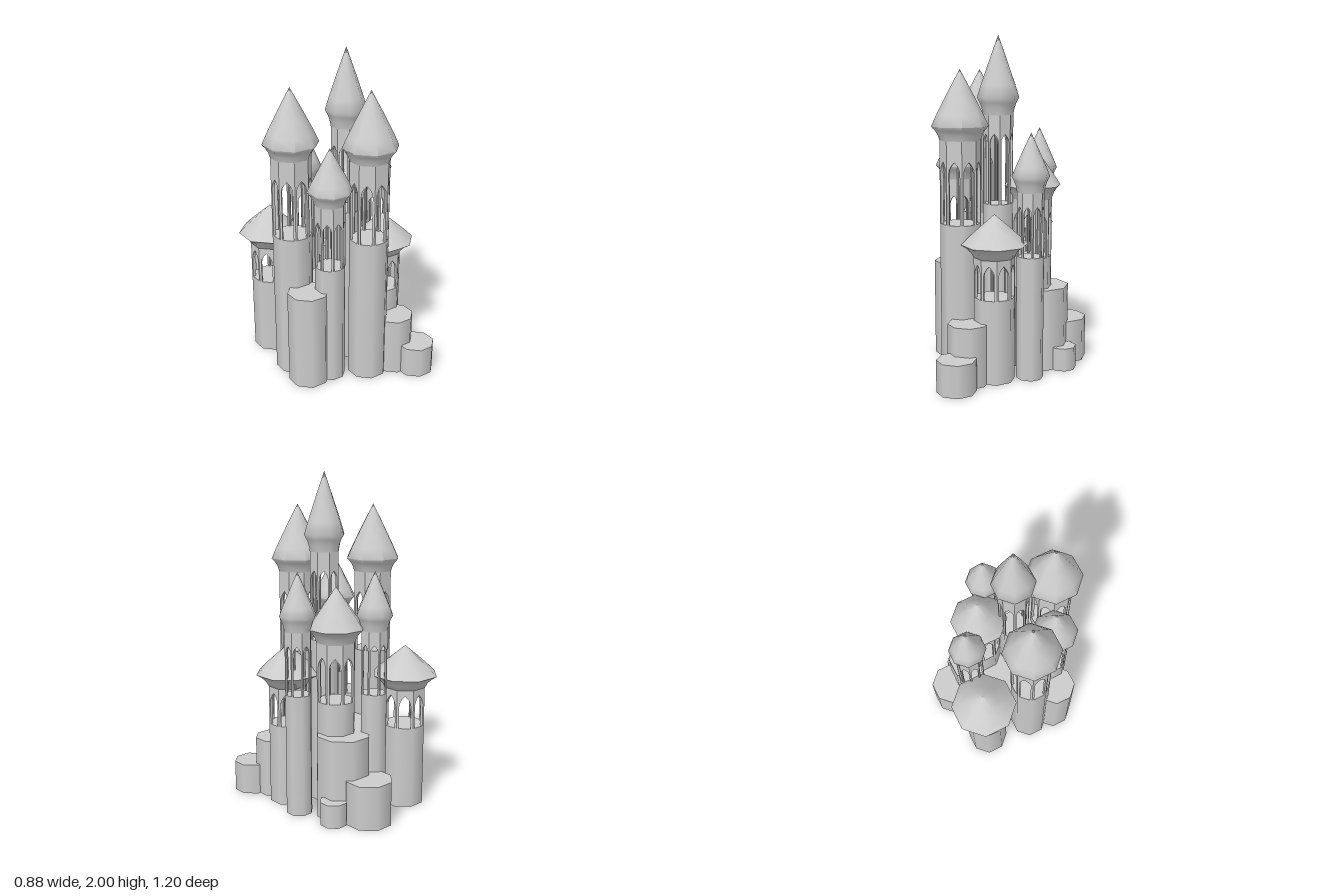
import * as THREE from 'three';
import { toCreasedNormals } from 'three/addons/utils/BufferGeometryUtils.js';

const SIDES = 8;
const TURN = 0.157; // every octagon is turned by the same small angle
const material = new THREE.MeshStandardMaterial({ color: 0xcccccc });

// Main towers: x, z, body radius, deck, arch tip, neck and eave heights, eave radius, peak
const towers = [
  ['centralTower', 0.055, 0.028, 0.09, 1.015, 1.43, 1.54, 1.64, 0.125, 2.0],
  ['frontTower', -0.008, 0.268, 0.12, 0.915, 1.28, 1.4, 1.48, 0.167, 1.805],
  ['rightTower', -0.265, -0.11, 0.12, 0.915, 1.28, 1.4, 1.48, 0.167, 1.805],
  ['rightFrontTower', -0.195, 0.128, 0.092, 0.755, 1.05, 1.15, 1.23, 0.135, 1.485],
  ['leftTower', 0.328, 0.025, 0.08, 0.735, 1.03, 1.11, 1.2, 0.111, 1.45],
  ['backTower', 0.055, -0.322, 0.08, 0.735, 1.03, 1.11, 1.2, 0.111, 1.45],
  ['leftBackTower', 0.18, -0.138, 0.118, 0.69, 0.96, 1.04, 1.12, 0.17, 1.36],
  ['frontPavilion', 0.205, 0.195, 0.12, 0.5, 0.7, 0.735, 0.81, 0.195, 0.985],
  ['backPavilion', -0.17, -0.402, 0.128, 0.5, 0.7, 0.735, 0.81, 0.2, 0.985],
];

// Low flat-topped blocks: x, z, radius, height
const blocks = [
  ['rightBlock', -0.318, 0.062, 0.125, 0.605],
  ['leftBackBlock', 0.2, -0.205, 0.163, 0.5],
  ['backBlock', 0.213, -0.39, 0.141, 0.265],
  ['smallLeftBlock', 0.35, -0.237, 0.082, 0.14],
  ['frontBlock', 0.205, 0.486, 0.115, 0.19],
  ['innerFrontBlock', 0.15, 0.35, 0.12, 0.36],
  ['coreBlock', -0.02, -0.13, 0.2, 0.5],
];

function addMesh(parent, name, geometry) {
  const mesh = new THREE.Mesh(geometry, material);
  mesh.name = name;
  parent.add(mesh);
  return mesh;
}

// Octagonal shaft standing on the ground
function addShaft(parent, name, radius, height) {
  addMesh(parent, name, new THREE.CylinderGeometry(radius, radius, height, SIDES)).position.y = height / 2;
}

// One wall of the arcade: a panel with a pointed-arch opening down to the deck
function archPanel(radius, deck, tip, top) {
  const half = radius * Math.sin(Math.PI / SIDES);
  const open = half * 0.72;
  const spring = tip - half * 1.35;
  const depth = radius * 0.14;
  const shape = new THREE.Shape();
  shape.moveTo(-half, deck);
  shape.lineTo(-open, deck);
  shape.lineTo(-open, spring);
  shape.quadraticCurveTo(-open, spring + (tip - spring) * 0.5, 0, tip);
  shape.quadraticCurveTo(open, spring + (tip - spring) * 0.5, open, spring);
  shape.lineTo(open, deck);
  shape.lineTo(half, deck);
  shape.lineTo(half, top);
  shape.lineTo(-half, top);
  const geometry = new THREE.ExtrudeGeometry(shape, { depth, bevelEnabled: false, curveSegments: 3 });
  return geometry.translate(0, 0, radius * Math.cos(Math.PI / SIDES) - depth);
}

// Flared neck and pointed roof turned in one piece
function roofGeometry(body, neck, eave, radius, peak) {
  const flare = radius - body, lift = eave - neck, rise = peak - eave;
  const profile = [
    [0, neck], [body, neck],
    [body + flare * 0.22, neck + lift * 0.4],
    [body + flare * 0.55, neck + lift * 0.72],
    [radius, eave],
    [radius * 0.82, eave + rise * 0.2],
    [radius * 0.42, eave + rise * 0.6],
    [0, peak],
  ].map(([r, y]) => new THREE.Vector2(r, y));
  return toCreasedNormals(new THREE.LatheGeometry(profile, SIDES), 1.25);
}

function makeTower([name, x, z, body, deck, tip, neck, eave, radius, peak]) {
  const tower = new THREE.Group();
  tower.name = name;
  tower.position.set(x, 0, z);
  tower.rotation.y = TURN;
  addShaft(tower, 'shaft', body, deck);
  const panel = archPanel(body, deck, tip, neck);
  for (let i = 0; i < SIDES; i++) {
    addMesh(tower, 'archPanel', panel).rotation.y = ((i + 0.5) * 2 * Math.PI) / SIDES;
  }
  addMesh(tower, 'roof', roofGeometry(body, neck, eave, radius, peak));
  return tower;
}

export function createModel() {
  const castle = new THREE.Group();
  castle.name = 'castle';
  towers.forEach((tower) => castle.add(makeTower(tower)));
  for (const [name, x, z, radius, height] of blocks) {
    const block = new THREE.Group();
    block.name = name;
    block.position.set(x, 0, z);
    block.rotation.y = TURN;
    addShaft(block, 'block', radius, height);
    castle.add(block);
  }
  return castle;
}
